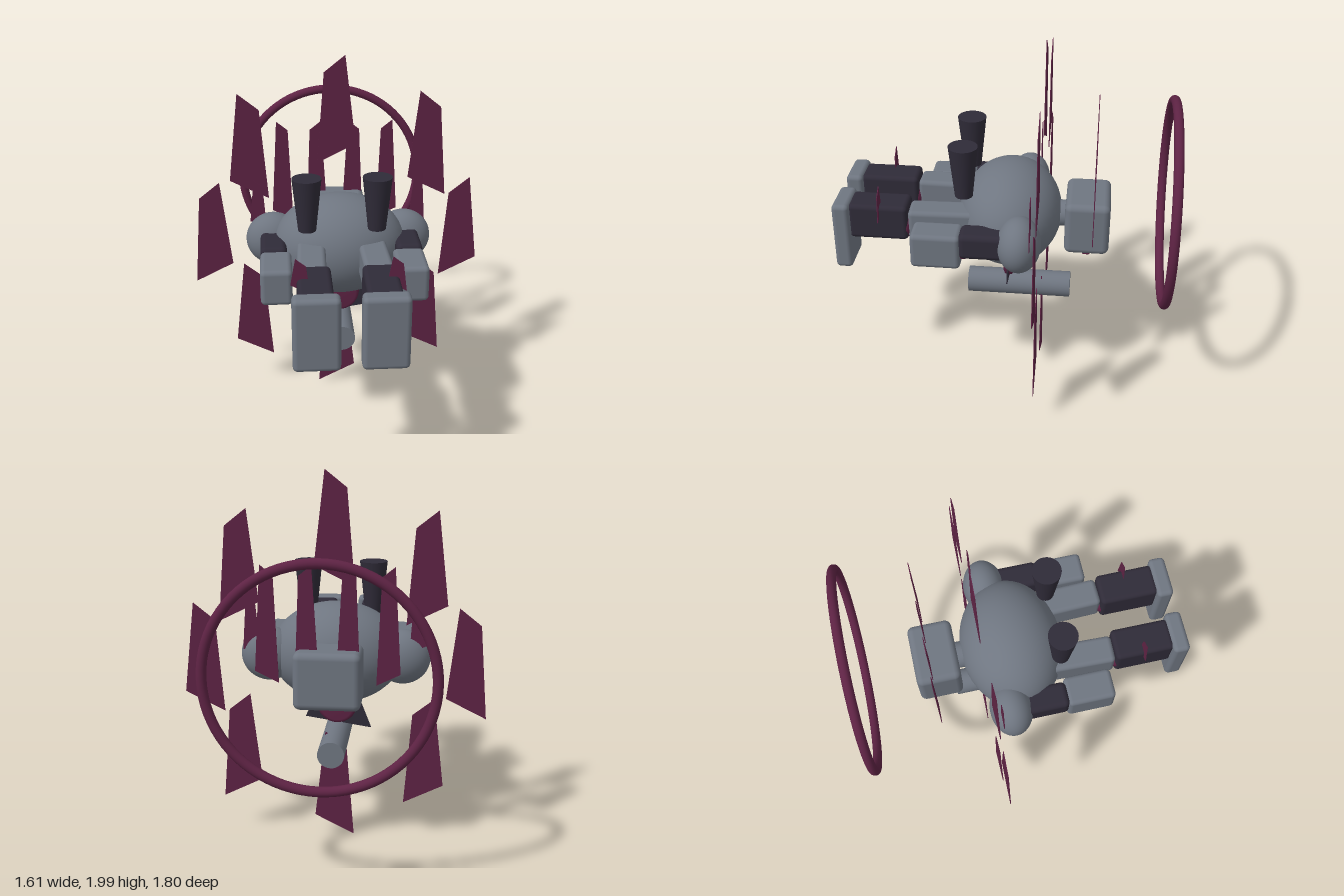
import * as THREE from 'three';
import { RoundedBoxGeometry } from 'three/addons/geometries/RoundedBoxGeometry.js';

export function createModel() {
  const model = new THREE.Group();
  const steel = new THREE.MeshStandardMaterial({ color: 0x6f7681 });
  const dark = new THREE.MeshStandardMaterial({ color: 0x2f2b38 });
  const maroon = new THREE.MeshStandardMaterial({ color: 0x5e2344 });

  const add = (name, geometry, material, x, y, z) => {
    const mesh = new THREE.Mesh(geometry, material);
    mesh.name = name;
    mesh.position.set(x, y, z);
    model.add(mesh);
    return mesh;
  };
  // Rounded box given by its extents on each axis
  const box = (name, mat, [x0, x1], [y0, y1], [z0, z1], r = 0.025) =>
    add(name, new RoundedBoxGeometry(x1 - x0, y1 - y0, z1 - z0, 3, r), mat,
      (x0 + x1) / 2, (y0 + y1) / 2, (z0 + z1) / 2);
  const ellipsoid = (name, mat, x, y, z, rx, ry, rz) =>
    add(name, new THREE.SphereGeometry(1, 40, 28).scale(rx, ry, rz), mat, x, y, z);
  // Cylinder lying along z
  const rod = (name, mat, r, z0, z1, y) =>
    add(name, new THREE.CylinderGeometry(r, r, z1 - z0, 32).rotateX(Math.PI / 2), mat, 0, y, (z0 + z1) / 2);
  // Thin slanted blade; lean = 1 has its long tip on +x, -1 on -x
  const blade = (name, mat, x, y, z, w, h, lean) => {
    const shape = new THREE.Shape([
      [-0.52, 0], [0.48, 0.5 * w], [0.21, h], [-0.33, h - 0.43 * w],
    ].map(([px, py]) => new THREE.Vector2(px * w * lean, py)));
    const geometry = new THREE.ExtrudeGeometry(shape, { depth: 0.004, bevelEnabled: false });
    return add(name, geometry.translate(0, 0, -0.002), mat, x, y, z);
  };

  // Body and head
  ellipsoid('torso', steel, 0, 1.005, -0.028, 0.36, 0.277, 0.278);
  rod('neck', steel, 0.072, -0.36, -0.25, 1.0);
  box('head', steel, [-0.17, 0.17], [0.84, 1.137], [-0.567, -0.328], 0.035);
  box('visor', maroon, [-0.125, 0.125], [0.815, 0.86], [-0.468, -0.426], 0.008);

  // Parts under the body
  const disc = new THREE.LatheGeometry([
    [0, -0.028], [0.09, -0.028], [0.105, -0.02], [0.112, 0], [0.105, 0.02], [0.09, 0.028], [0, 0.028],
  ].map(([r, y]) => new THREE.Vector2(r, y)), 40).rotateX(Math.PI / 2);
  add('lowerDisc', disc, maroon, 0, 0.705, -0.022);
  const tail = new THREE.Shape([
    [-0.19, 0.57], [0.175, 0.625], [0.1, 0.8], [-0.1, 0.8],
  ].map(([x, y]) => new THREE.Vector2(x, y)));
  add('tailFin', new THREE.ExtrudeGeometry(tail, { depth: 0.006, bevelEnabled: false }), dark, 0, 0, -0.025);
  rod('lowerBarrel', steel, 0.072, -0.365, 0.21, 0.53);

  // Paired limbs and horns
  for (const s of [-1, 1]) {
    const side = s > 0 ? 'left' : 'right';
    const span = (a, b) => (s > 0 ? [a, b] : [-b, -a]);

    ellipsoid(side + 'Shoulder', steel, s * 0.36, 1.008, -0.103, 0.15, 0.148, 0.115);
    box(side + 'UpperArm', dark, span(0.29, 0.43), [0.935, 1.078], [-0.08, 0.205], 0.03);
    ellipsoid(side + 'Elbow', maroon, s * 0.355, 0.97, 0.185, 0.062, 0.062, 0.062);
    box(side + 'Forearm', steel, span(0.267, 0.43), [0.872, 1.065], [0.197, 0.457]);

    const thigh = box(side + 'Thigh', steel, span(0.09, 0.24), [0.92, 1.094], [0.08, 0.5]);
    thigh.rotation.y = s * 0.03;
    ellipsoid(side + 'Knee', maroon, s * 0.165, 0.988, 0.515, 0.08, 0.08, 0.045);
    box(side + 'Shin', dark, span(0.078, 0.25), [0.92, 1.12], [0.5, 0.82]);
    box(side + 'Foot', steel, span(0.05, 0.28), [0.745, 1.128], [0.808, 0.9]);

    add(side + 'Horn', new THREE.CylinderGeometry(0.077, 0.047, 0.285, 32), dark, s * 0.182, 1.323, 0.203);

    blade(side + 'ShinFin', maroon, s * 0.235, 1.04, 0.65, 0.095, 0.185, -1);
    blade(side + 'ShoulderFin', maroon, s * 0.443, 1.04, -0.165, 0.09, 0.285, -1);
  }

  // Eight floating blades circling the body
  [
    [0, 1.405, 1], [0, 0.01, 1], [-0.697, 0.705, 1], [0.7, 0.705, 1],
    [-0.49, 1.205, -1], [0.495, 1.205, -1], [-0.49, 0.21, -1], [0.495, 0.21, -1],
  ].forEach(([x, y, lean], i) => blade('outerBlade' + (i + 1), maroon, x, y, -0.206, 0.212, 0.595, lean));

  // Four smaller blades above the head
  [-0.305, -0.1, 0.105, 0.31].forEach((x, i) =>
    blade('innerBlade' + (i + 1), maroon, x, 0.96, -0.48, 0.12, 0.6, i % 2 ? 1 : -1));

  // Rear ring
  add('rearRing', new THREE.TorusGeometry(0.546, 0.025, 16, 80), maroon, 0, 1.097, -0.873);

  return model;
}
